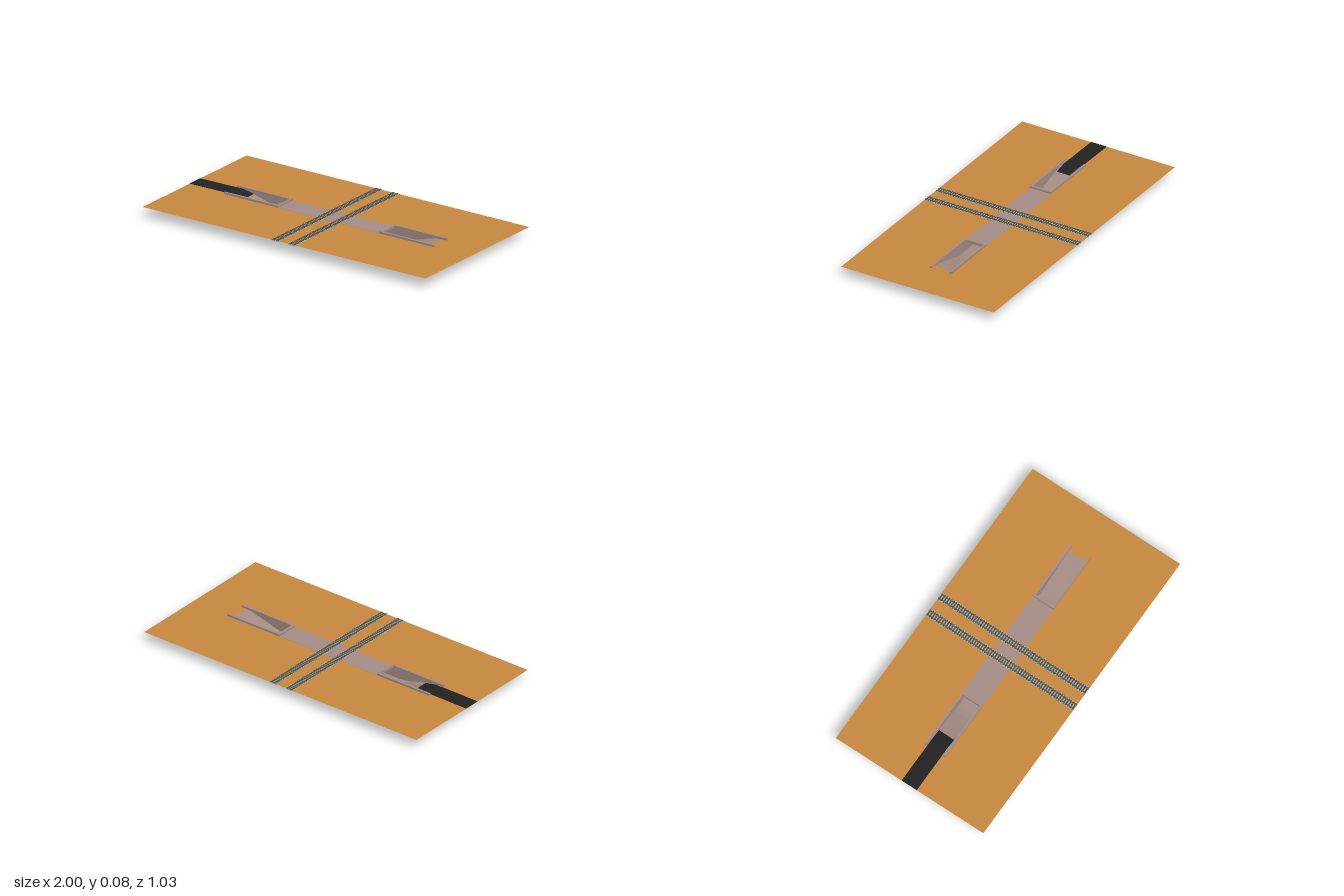
import * as THREE from 'three';

const mat = (name, color, side = THREE.FrontSide) => {
  const m = new THREE.MeshStandardMaterial({ color, side });
  m.name = name;
  return m;
};

export function createModel() {
  const group = new THREE.Group();
  group.name = 'railwayUnderpass';
  const soil = mat('soil', 0xc88840, THREE.DoubleSide);
  const concrete = mat('concrete', 0xa38c84);
  const asphalt = mat('asphalt', 0x222222, THREE.DoubleSide);
  const ballast = mat('ballast', 0xa8a898);
  const timber = mat('timber', 0x5c5040);
  const steel = mat('steel', 0x555650);

  const add = (name, geometry, material, parent = group) => {
    const mesh = new THREE.Mesh(geometry, material);
    mesh.name = name;
    parent.add(mesh);
    return mesh;
  };
  // box given by its lower and upper limits
  const box = (name, x0, x1, y0, y1, z0, z1, material, parent) =>
    add(name, new THREE.BoxGeometry(x1 - x0, y1 - y0, z1 - z0), material, parent)
      .position.set((x0 + x1) / 2, (y0 + y1) / 2, (z0 + z1) / 2);
  const shapeOf = (pts) => new THREE.Shape(pts.map(([x, y]) => new THREE.Vector2(x, y)));

  const halfDepth = 0.515, half = 0.072, wall = 0.013, level = 0.064;

  // ground sheet, cut open above both ramps
  const land = shapeOf([[-1, -halfDepth], [1, -halfDepth], [1, halfDepth], [-1, halfDepth]]);
  for (const s of [-1, 1]) {
    const a = s * 0.36, b = s * 0.705, w = half - 0.005;
    land.holes.push(new THREE.Path([[a, -w], [b, -w], [b, w], [a, w]].map(([x, y]) => new THREE.Vector2(x, y))));
  }
  const landGeometry = new THREE.ShapeGeometry(land);
  landGeometry.rotateX(-Math.PI / 2);
  add('ground', landGeometry, soil).position.y = level;

  // underside of the passage: ramp down, level run, ramp up
  const ramp = [[-0.705, 0.063], [-0.66, 0.056], [-0.6, 0.041], [-0.5, 0.013], [-0.46, 0.004], [-0.42, 0]];
  const under = [...ramp, ...ramp.map(([x, y]) => [-x, y]).reverse()];
  const extrude = (pts, depth) => new THREE.ExtrudeGeometry(shapeOf(pts), { depth, bevelEnabled: false });

  // floor slab
  const upper = under.map(([x, y]) => [x, Math.min(y + 0.003, level + 0.0005)]).reverse();
  add('passageFloor', extrude([...under, ...upper], 2 * half - 0.002), concrete).position.z = -half + 0.001;

  // side walls with raised kerbs along the ramps
  const side = [[-0.742, 0.076], [-0.742, 0.063], ...under, [0.742, 0.063], [0.742, 0.076],
    [0.357, 0.076], [0.357, 0.0648], [-0.357, 0.0648], [-0.357, 0.076]];
  for (const z of [-half, half - wall]) add('sideWall', extrude(side, wall), concrete).position.z = z;

  // roof slab and the parapet over each portal
  box('passageRoof', -0.36, 0.36, 0.06, 0.0648, -half, half, concrete);
  for (const s of [-1, 1]) {
    const x = s * 0.3645;
    box('portalParapet', x - 0.0075, x + 0.0075, 0.06, 0.076, -half + 0.001, half - 0.001, concrete);
  }

  // approach road, bending into the left-hand ramp
  const road = [[-1, 0.0655], [-0.7, 0.0675], [-0.66, 0.061], [-0.62, 0.052]];
  add('approachRoad', extrude([...road, ...road.map(([x, y]) => [x, y - 0.001]).reverse()], 0.105), asphalt)
    .position.z = -0.055;

  // two railway tracks
  const count = 64;
  for (const x of [-0.064, 0.055]) {
    const track = new THREE.Group();
    track.name = 'railwayTrack';
    track.position.x = x;
    group.add(track);
    box('trackBed', -0.026, 0.026, 0.0605, 0.0655, -halfDepth, halfDepth, ballast, track);
    const step = (2 * halfDepth) / count;
    for (let i = 0; i < count; i++) {
      const z = -halfDepth + (i + 0.5) * step;
      box('sleeper', -0.023, 0.023, 0.065, 0.0668, z - step * 0.27, z + step * 0.27, timber, track);
    }
    for (const r of [-0.014, 0.014])
      box('rail', r - 0.0025, r + 0.0025, 0.065, 0.0682, -halfDepth, halfDepth, steel, track);
  }
  return group;
}
